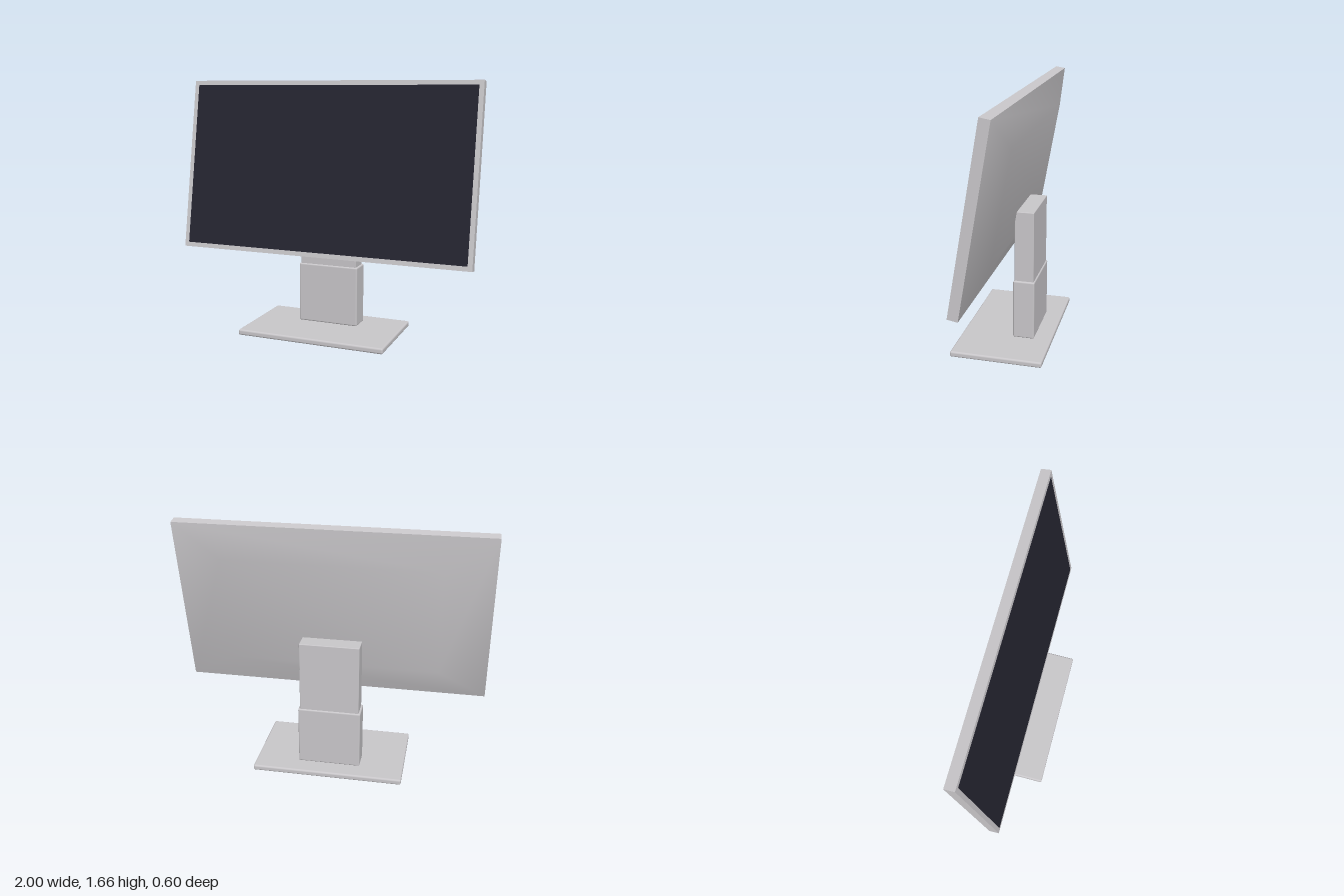
import * as THREE from 'three';
import { RoundedBoxGeometry } from 'three/addons/geometries/RoundedBoxGeometry.js';

const grey = new THREE.MeshStandardMaterial({ color: 0xc8c6c9 });
grey.name = 'lightGrey';
const dark = new THREE.MeshStandardMaterial({ color: 0x242430 });
dark.name = 'screenDark';

function add(parent, name, geometry, material, x, y, z) {
  const mesh = new THREE.Mesh(geometry, material);
  mesh.name = name;
  mesh.position.set(x, y, z);
  parent.add(mesh);
  return mesh;
}

// Shallow tapered back with smooth shading: outer rim to a smaller inner plateau
function taperedBack(w, h, insetX, insetY, depth) {
  const ring = (a, b, z) => [-a, -b, z, a, -b, z, a, b, z, -a, b, z];
  const positions = [...ring(w / 2, h / 2, 0), ...ring(w / 2 - insetX, h / 2 - insetY, -depth)];
  const index = [4, 6, 5, 4, 7, 6];
  for (let i = 0; i < 4; i++) {
    const j = (i + 1) % 4;
    index.push(i, j + 4, j, i, i + 4, j + 4);
  }
  const g = new THREE.BufferGeometry();
  g.setAttribute('position', new THREE.Float32BufferAttribute(positions, 3));
  g.setIndex(index);
  g.computeVertexNormals();
  return g;
}

export function createModel() {
  const model = new THREE.Group();
  model.name = 'monitor';

  // Stand: foot plate and telescoping column
  add(model, 'base', new RoundedBoxGeometry(1, 0.038, 0.6, 3, 0.012), grey, 0, 0.019, 0);
  add(model, 'lowerColumn', new RoundedBoxGeometry(0.416, 0.402, 0.142, 3, 0.01), grey, 0, 0.239, -0.115);
  add(model, 'upperColumn', new RoundedBoxGeometry(0.392, 0.51, 0.126, 2, 0.005), grey, 0, 0.655, -0.115);

  // Display, pivoted at its lower front edge and leaning back
  const W = 2, H = 1.152, T = 0.065, BEZEL = 0.03;
  const display = new THREE.Group();
  display.name = 'display';
  display.position.set(0, 0.53, 0.13);
  display.rotation.x = -THREE.MathUtils.degToRad(10);
  model.add(display);

  add(display, 'frame', new THREE.BoxGeometry(W, H, T), grey, 0, H / 2, -T / 2);
  add(display, 'screen', new THREE.BoxGeometry(W - 2 * BEZEL, H - 2 * BEZEL, 0.004), dark, 0, H / 2, 0);
  add(display, 'backShell', taperedBack(W, H, 0.31, 0.21, 0.063), grey, 0, H / 2, -T);

  return model;
}
